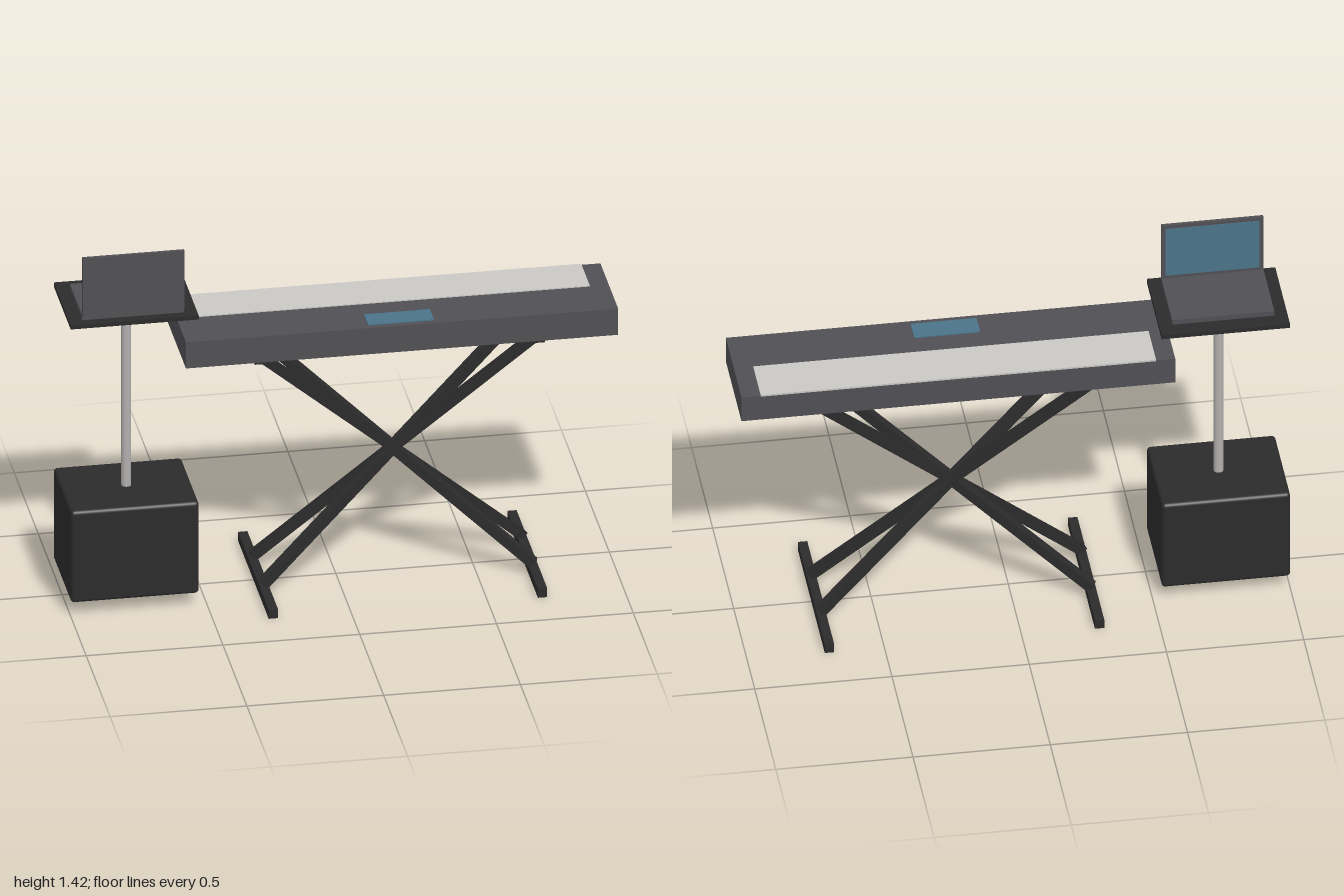
import * as THREE from 'three';
import { RoundedBoxGeometry } from 'three/addons/geometries/RoundedBoxGeometry.js';

const material = (name, color) => {
  const m = new THREE.MeshStandardMaterial({ color });
  m.name = name;
  return m;
};

export function createModel() {
  const black = material('black', 0x2b2b2b);
  const grey = material('dark grey', 0x505054);
  const ivory = material('key ivory', 0xcac8c4);
  const blue = material('screen blue', 0x4a7388);
  const silver = material('pole silver', 0xb2b0ae);

  const model = new THREE.Group();
  model.name = 'keyboardSetup';

  const add = (name, geometry, mat, x, y, z, parent = model) => {
    const mesh = new THREE.Mesh(geometry, mat);
    mesh.name = name;
    mesh.position.set(x, y, z);
    parent.add(mesh);
    return mesh;
  };
  // Box given by its lower and upper bounds on each axis
  const box = (name, mat, [x0, x1], [y0, y1], [z0, z1], parent) =>
    add(name, new THREE.BoxGeometry(x1 - x0, y1 - y0, z1 - z0), mat,
      (x0 + x1) / 2, (y0 + y1) / 2, (z0 + z1) / 2, parent);

  // Keyboard with a key strip at the back and a small display
  const keyboard = new THREE.Group();
  keyboard.name = 'keyboard';
  model.add(keyboard);
  box('keyboardBody', grey, [-0.58, 1], [0.965, 1.07], [-0.186, 0.186], keyboard);
  box('keyStrip', ivory, [-0.51, 0.93], [1.067, 1.074], [-0.187, -0.008], keyboard);
  box('keyboardDisplay', blue, [0.09, 0.33], [1.067, 1.074], [0.08, 0.165], keyboard);

  // Crossed stand: a foot and a top rail at each end, four diagonal bars
  const stand = new THREE.Group();
  stand.name = 'stand';
  model.add(stand);
  const bar = (a, b) => {
    const from = new THREE.Vector3(...a), to = new THREE.Vector3(...b);
    const mesh = add('diagonalBar', new THREE.BoxGeometry(0.036, 0.036, from.distanceTo(to)), black,
      ...from.clone().lerp(to, 0.5).toArray(), stand);
    mesh.lookAt(to);
  };
  const centre = 0.208;
  for (const side of [-1, 1]) {
    const foot = centre + side * 0.492;
    const rail = centre + side * 0.512;
    box('foot', black, [foot - 0.017, foot + 0.017], [0, 0.036], [-0.32, 0.32], stand);
    box('topRail', black, [rail - 0.018, rail + 0.018], [0.94, 0.966], [-0.15, 0.15], stand);
    for (const z of [-0.115, 0.115]) {
      bar([centre + side * 0.495, 0.038, z], [centre - side * 0.5, 0.952, -z]);
    }
  }

  // Floor speaker with pole and tray
  add('speakerCabinet', new RoundedBoxGeometry(0.468, 0.368, 0.372, 3, 0.014), black, -0.766, 0.239, 0);
  add('pole', new THREE.CylinderGeometry(0.018, 0.018, 0.76, 24), silver, -0.766, 0.78, 0);
  box('tray', black, [-1, -0.532], [1.154, 1.17], [-0.176, 0.178]);

  // Laptop, with its screen facing the back
  const laptop = new THREE.Group();
  laptop.name = 'laptop';
  model.add(laptop);
  box('laptopBase', grey, [-0.952, -0.58], [1.17, 1.19], [-0.115, 0.143], laptop);
  box('laptopLid', grey, [-0.952, -0.58], [1.188, 1.424], [0.143, 0.155], laptop);
  box('laptopScreen', blue, [-0.937, -0.595], [1.203, 1.409], [0.141, 0.146], laptop);

  return model;
}
